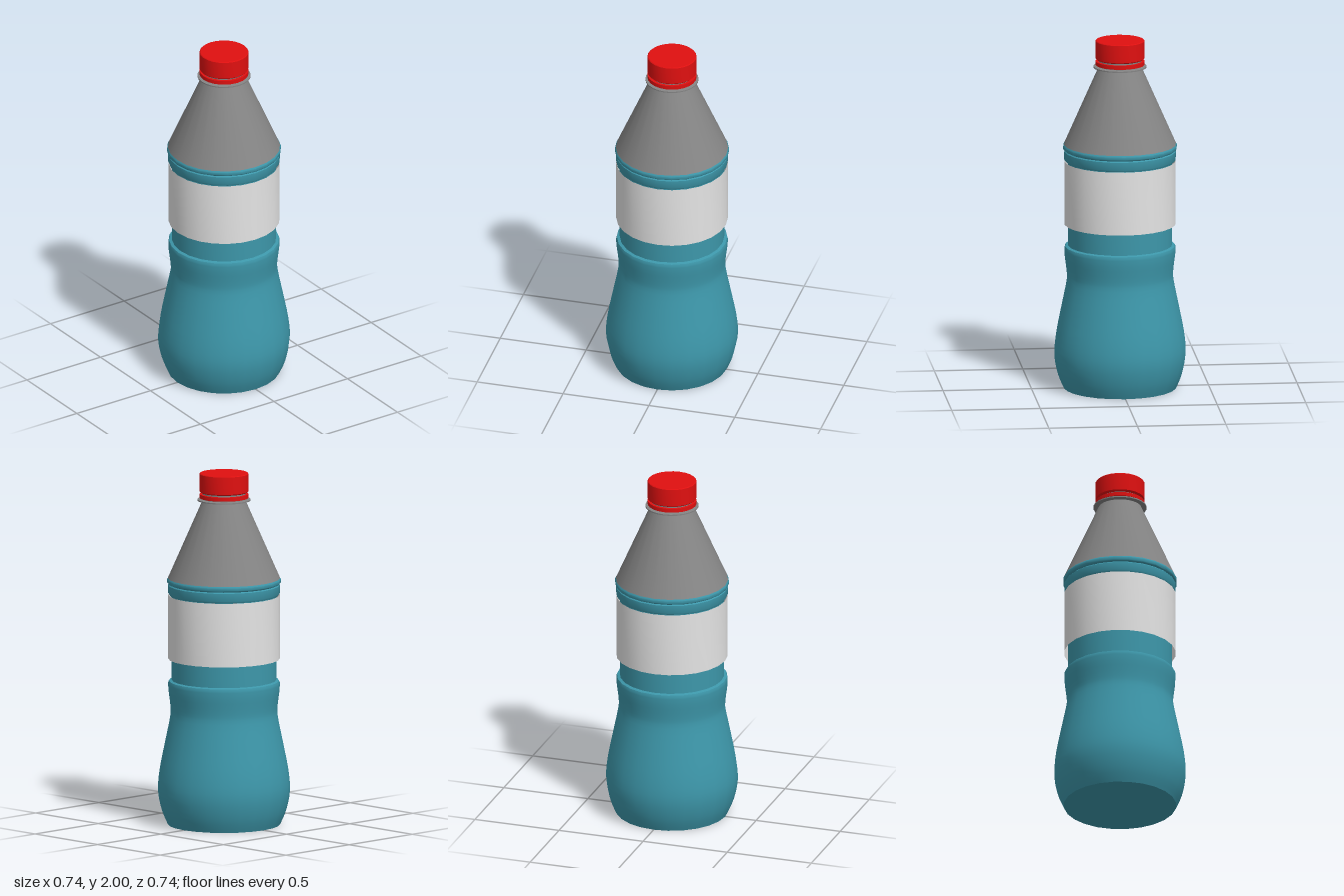
import * as THREE from 'three';
import { toCreasedNormals } from 'three/addons/utils/BufferGeometryUtils.js';

const SIDES = 24;

function material(name, color, side = THREE.FrontSide) {
  const m = new THREE.MeshStandardMaterial({ color, side });
  m.name = name;
  return m;
}

export function createModel() {
  const model = new THREE.Group();
  model.name = 'bottle';

  const teal = material('teal', 0x3d97aa);
  const grey = material('grey', 0x858585);
  const white = material('label white', 0xe4e4e4, THREE.DoubleSide);
  const red = material('red', 0xe01010);

  // Turns a [radius, height] profile, listed bottom to top, into a named part
  function turned(name, profile, mat) {
    const points = profile.map(([r, y]) => new THREE.Vector2(r, y));
    const geometry = toCreasedNormals(new THREE.LatheGeometry(points, SIDES), 0.6);
    const mesh = new THREE.Mesh(geometry, mat);
    mesh.name = name;
    model.add(mesh);
  }

  // Smooth swelling lower body, sampled from a few guide points
  const belly = new THREE.SplineCurve([
    [0.317, 0], [0.35, 0.08], [0.371, 0.19], [0.362, 0.31], [0.331, 0.47],
    [0.303, 0.61], [0.301, 0.67], [0.312, 0.76], [0.314, 0.805],
  ].map(([r, y]) => new THREE.Vector2(r, y)));
  const bellyProfile = belly.getPoints(24).map((p) => [p.x, p.y]);

  // Body with its recessed label band and the two shoulder rings
  turned('body', [
    [0, 0], ...bellyProfile,
    [0.31, 0.817], [0.294, 0.822],
    [0.294, 1.305], [0.309, 1.308], [0.315, 1.318],
    [0.315, 1.363], [0.309, 1.369], [0.318, 1.374],
    [0.321, 1.38], [0.321, 1.394], [0.316, 1.402],
  ], teal);

  // Sleeve label standing clear of the recess
  turned('label', [[0.314, 0.943], [0.314, 1.306]], white);

  // Conical shoulder, carrying flange and neck
  turned('shoulder', [[0.316, 1.402], [0.122, 1.842]], grey);
  turned('flange', [
    [0.122, 1.842], [0.15, 1.844], [0.15, 1.851], [0.122, 1.853],
  ], grey);
  turned('neck', [[0.122, 1.835], [0.122, 1.9]], grey);

  // Tamper ring and cap
  turned('tamperRing', [
    [0.12, 1.859], [0.138, 1.859], [0.138, 1.881], [0.12, 1.881],
  ], red);
  turned('cap', [
    [0, 1.891], [0.132, 1.891], [0.138, 1.897], [0.138, 1.996],
    [0.134, 2], [0, 2],
  ], red);

  return model;
}
